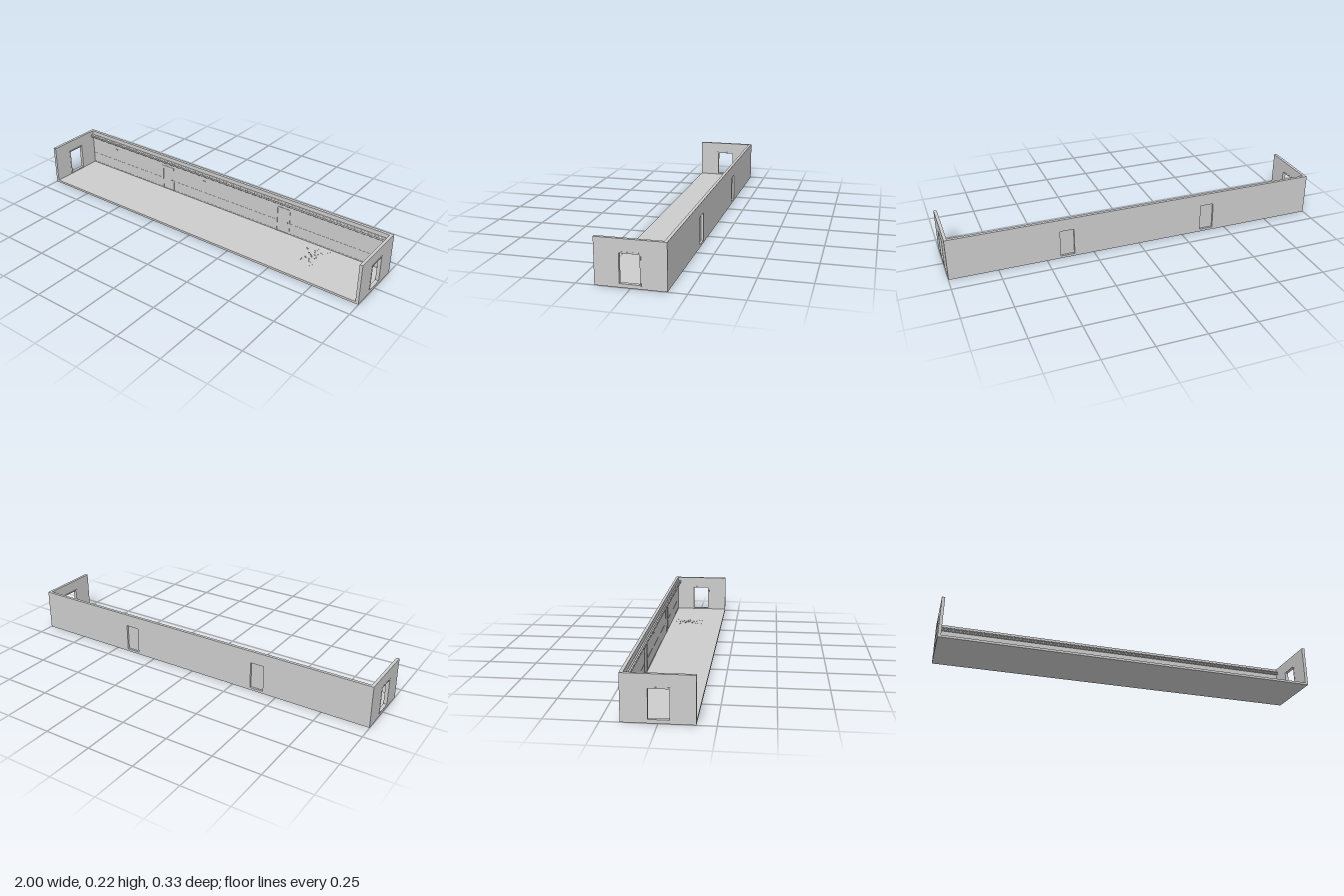
import * as THREE from 'three';

const concrete = new THREE.MeshStandardMaterial({ color: 0xcccccc, flatShading: true });
concrete.name = 'pale grey concrete';

const T = 0.016;        // wall thickness
const FLOOR = 0.012;    // floor height
const H = 0.22;         // wall height
const D = 0.163;        // half depth

function add(parent, name, geometry, x = 0, y = 0, z = 0) {
  const mesh = new THREE.Mesh(geometry, concrete);
  mesh.name = name;
  mesh.position.set(x, y, z);
  parent.add(mesh);
  return mesh;
}

// Box given by its minimum and maximum corners
function block(parent, name, x0, x1, y0, y1, z0, z1) {
  return add(parent, name, new THREE.BoxGeometry(x1 - x0, y1 - y0, z1 - z0),
    (x0 + x1) / 2, (y0 + y1) / 2, (z0 + z1) / 2);
}

function rectangle(Kind, x0, x1, y0, y1) {
  return new Kind([[x0, y0], [x1, y0], [x1, y1], [x0, y1]].map(p => new THREE.Vector2(...p)));
}

// Upright slab with rectangular openings, extruded along +z
function slab(outer, holes, depth) {
  const shape = rectangle(THREE.Shape, ...outer);
  for (const h of holes) shape.holes.push(rectangle(THREE.Path, ...h));
  return new THREE.ExtrudeGeometry(shape, { depth, bevelEnabled: false });
}

function seeded(seed) {
  return () => {
    seed = (seed * 16807) % 2147483647;
    return seed / 2147483647;
  };
}

export function createModel() {
  const group = new THREE.Group();
  group.name = 'corridor';

  block(group, 'floor', -0.999, 0.999, 0, FLOOR, -D, D);

  // Long back wall with two door recesses
  const doorX = [-0.39, 0.39];
  const doorHoles = doorX.map(x => [x - 0.037, x + 0.037, FLOOR + 0.001, 0.155]);
  add(group, 'backWall', slab([-0.999, 0.999, 0.0001, H], doorHoles, T), 0, 0, -D);

  const inner = -D + T;
  doorX.forEach((x, i) => {
    const door = new THREE.Group();
    door.name = 'sideDoor' + (i + 1);
    block(door, 'doorPanel', x - 0.037, x + 0.037, FLOOR, 0.155, inner - 0.005, inner - 0.001);
    const frame = slab([x - 0.041, x + 0.041, FLOOR, 0.159],
      [[x - 0.036, x + 0.036, FLOOR + 0.002, 0.154]], 0.003);
    add(door, 'doorFrame', frame, 0, 0, inner - 0.001);
    block(door, 'doorHandle', x + 0.025, x + 0.031, 0.076, 0.08, inner - 0.001, inner + 0.004);
    group.add(door);
  });

  // End walls, each with an open framed doorway
  for (const side of [-1, 1]) {
    const end = new THREE.Group();
    end.name = side > 0 ? 'leftEnd' : 'rightEnd';
    const wall = add(end, 'endWall',
      slab([-D, D, 0.0001, H], [[-0.055, 0.046, 0.013, 0.161]], T), side > 0 ? 0.983 : -0.999);
    const frame = add(end, 'doorwayFrame',
      slab([-0.057, 0.048, 0.012, 0.162], [[-0.05, 0.043, 0.018, 0.155]], T + 0.002),
      side > 0 ? 0.982 : -1);
    wall.rotation.y = frame.rotation.y = Math.PI / 2;
    group.add(end);
  }

  // Skirting and a slim rail along the back wall, broken at the doors
  const spans = [[-0.983, -0.431], [-0.349, 0.349], [0.431, 0.983]];
  for (const [a, b] of spans) {
    block(group, 'skirting', a, b, FLOOR, FLOOR + 0.005, inner, inner + 0.001);
    block(group, 'wallRail', a, b, 0.075, 0.077, inner, inner + 0.001);
  }

  // Bundle of pipes running under the top of the wall
  for (const y of [0.187, 0.196]) {
    for (const z of [inner + 0.005, inner + 0.014]) {
      const pipe = add(group, 'pipe', new THREE.CylinderGeometry(0.0042, 0.0042, 1.966, 12), 0, y, z);
      pipe.rotation.z = Math.PI / 2;
    }
  }

  // Small wall fittings
  for (const x of [-0.79, -0.13]) {
    block(group, 'wallFitting', x - 0.007, x + 0.007, 0.146, 0.151, inner, inner + 0.003);
  }

  // Rubble scattered outward from one spot on the floor
  const random = seeded(41);
  const rubble = new THREE.Group();
  rubble.name = 'rubble';
  const arms = [[-0.08, -0.075], [-0.04, 0.08], [0.05, 0.08], [0.07, -0.07], [0.01, -0.09], [0.06, 0.01]];
  for (const [ax, az] of arms) {
    for (let i = 1; i <= 7; i++) {
      const t = i / 7;
      const size = 0.0015 + 0.0045 * (1 - t) * random();
      const stone = add(rubble, 'stone', new THREE.DodecahedronGeometry(size),
        0.62 + ax * t + (random() - 0.5) * 0.02, FLOOR + size * 0.3,
        -0.045 + az * t + (random() - 0.5) * 0.02);
      stone.rotation.set(random() * 3, random() * 3, 0);
      stone.scale.y = 0.7;
    }
  }
  group.add(rubble);

  return group;
}
